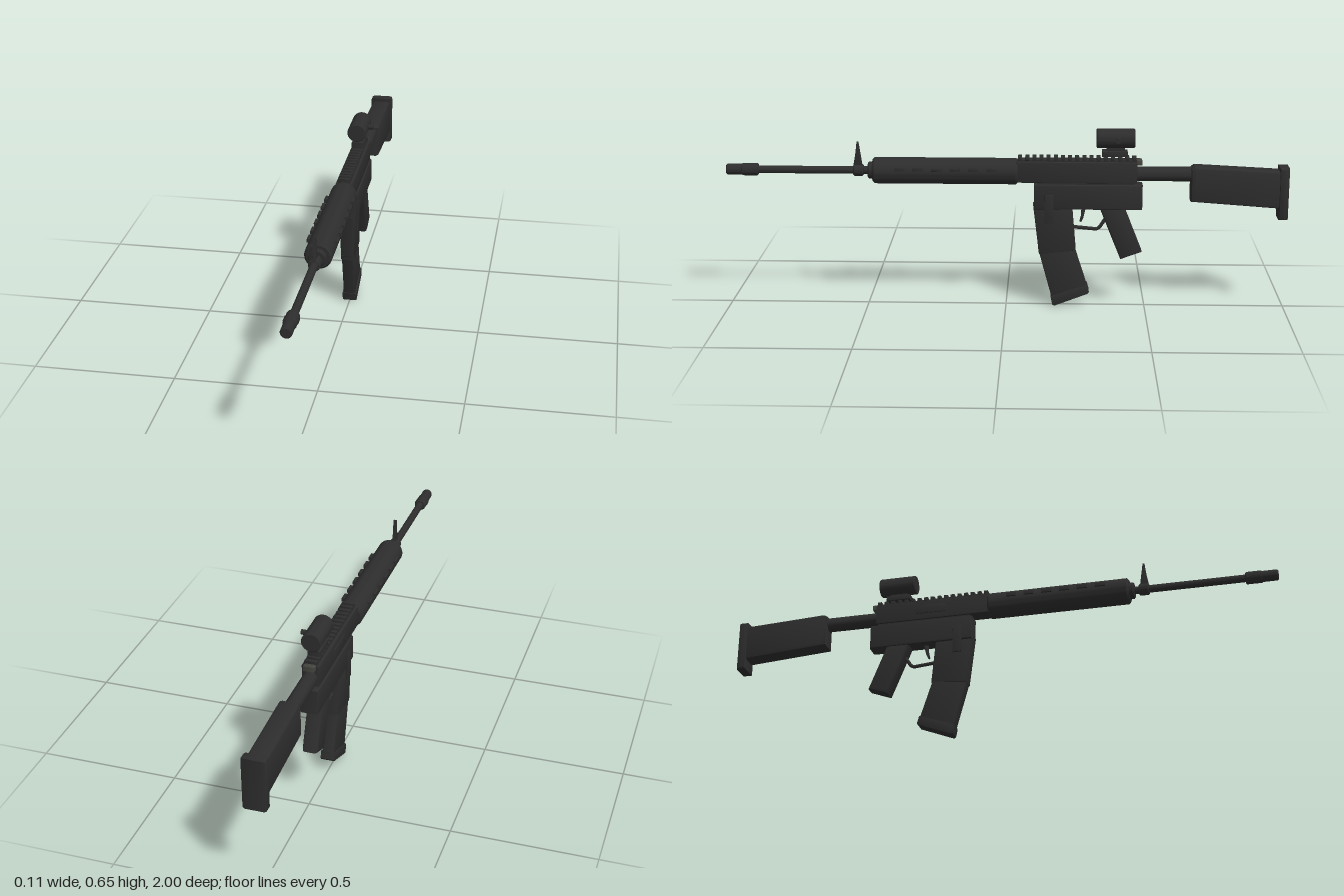
import * as THREE from 'three';
import { toCreasedNormals } from 'three/addons/utils/BufferGeometryUtils.js';

export function createModel() {
  const model = new THREE.Group();
  const black = new THREE.MeshStandardMaterial({ color: 0x2d2d2d });
  black.name = 'matte black';
  const steel = new THREE.MeshStandardMaterial({ color: 0x45453f });
  steel.name = 'worn steel';
  const axisY = 0.498;

  function add(name, geometry, material = black) {
    const mesh = new THREE.Mesh(geometry, material);
    mesh.name = name;
    model.add(mesh);
    return mesh;
  }

  // Side outline of [z, y] points, widened along x with bevelled edges
  function slab(name, points, width, bevel = 0.006, x = 0) {
    const shape = new THREE.Shape(points.map(([z, y]) => new THREE.Vector2(z, y)));
    const g = new THREE.ExtrudeGeometry(shape, {
      depth: width - 2 * bevel, bevelEnabled: bevel > 0, bevelSize: bevel,
      bevelThickness: bevel, bevelOffset: -bevel, bevelSegments: 2,
    });
    g.translate(0, 0, bevel - width / 2);
    g.rotateY(-Math.PI / 2);
    g.scale(-1, 1, 1);
    g.rotateY(Math.PI);
    g.scale(1, 1, -1);
    g.translate(x, 0, 0);
    return add(name, toCreasedNormals(g, 0.6));
  }

  function block(name, z0, z1, y0, y1, width, bevel = 0.005, x = 0) {
    return slab(name, [[z0, y0], [z1, y0], [z1, y1], [z0, y1]], width, bevel, x);
  }

  // Round part along z with chamfered ends
  function rod(name, z0, z1, radius, y = axisY, chamfer = 0.004, sides = 24) {
    const profile = [[0, z0], [radius - chamfer, z0], [radius, z0 + chamfer],
      [radius, z1 - chamfer], [radius - chamfer, z1], [0, z1]];
    const g = new THREE.LatheGeometry(profile.map(p => new THREE.Vector2(...p)), sides);
    g.rotateX(Math.PI / 2);
    g.translate(0, y, 0);
    return add(name, toCreasedNormals(g, 0.5));
  }

  // Barrel and muzzle
  rod('barrel', 0.44, 0.92, 0.0135, axisY, 0.001);
  rod('muzzleRear', 0.885, 0.945, 0.022);
  rod('muzzleFront', 0.94, 1, 0.0195);
  for (const side of [-1, 1]) block('muzzleSlot', 0.9, 0.93, 0.493, 0.503, 0.004, 0, side * 0.0215);
  rod('gasCollar', 0.47, 0.492, 0.03);
  rod('sightCollar', 0.508, 0.545, 0.021);

  // Front sight post
  slab('frontSight', [[0.512, 0.51], [0.545, 0.51], [0.536, 0.56], [0.531, 0.6], [0.525, 0.6], [0.519, 0.56]], 0.012, 0.001);

  // Handguard with vents along both sides
  rod('handguard', -0.042, 0.475, 0.047, axisY, 0.007, 32);
  for (const side of [-1, 1]) {
    for (let i = 0; i < 6; i++) {
      const z = 0.05 + i * 0.065;
      block('handguardVent', z - 0.018, z + 0.018, 0.506, 0.519, 0.014, 0.001, side * 0.046);
    }
  }

  // Receiver
  block('upperReceiver', -0.465, -0.038, 0.462, 0.538, 0.062);
  block('lowerReceiver', -0.485, -0.1, 0.365, 0.456, 0.068, 0.008);
  block('receiverJoint', -0.455, -0.11, 0.445, 0.475, 0.05, 0);
  block('ejectionPort', -0.31, -0.2, 0.484, 0.517, 0.006, 0.001, -0.031);
  for (const side of [-1, 1]) {
    block('magazineCatch', -0.17, -0.138, 0.315, 0.42, 0.008, 0.002, side * 0.032);
  }

  // Top rail with teeth
  block('railBase', -0.465, -0.042, 0.532, 0.544, 0.042, 0.001);
  for (let i = 0; i < 17; i++) {
    const z = -0.05 - i * 0.0253;
    block('railTooth', z - 0.007, z + 0.007, 0.541, 0.554, 0.044, 0.001);
  }

  // Charging handle
  block('chargingHandle', -0.482, -0.462, 0.526, 0.544, 0.04, 0.002).material = steel;

  // Optic on its mount
  block('opticClamp', -0.43, -0.34, 0.556, 0.576, 0.044, 0.004);
  block('opticStem', -0.42, -0.355, 0.57, 0.592, 0.016, 0);
  rod('optic', -0.456, -0.32, 0.0345, 0.62, 0.003, 32);
  const knob = new THREE.CylinderGeometry(0.009, 0.009, 0.03, 16);
  knob.rotateZ(Math.PI / 2);
  add('opticKnob', knob).position.set(0.038, 0.62, -0.395);

  // Magazine: upright upper section, raked lower section and floor plate
  slab('magazineUpper', [[-0.097, 0.38], [-0.236, 0.38], [-0.251, 0.211], [-0.119, 0.196]], 0.05, 0.006);
  slab('magazineLower', [[-0.116, 0.215], [-0.244, 0.225], [-0.295, 0.068], [-0.169, 0.02]], 0.043, 0.005);
  slab('magazineFloor', [[-0.162, 0.037], [-0.292, 0.083], [-0.3, 0.056], [-0.297, 0.05], [-0.175, 0.003], [-0.168, 0.007]], 0.052, 0.003);

  // Pistol grip
  slab('pistolGrip', [[-0.33, 0.38], [-0.418, 0.38], [-0.487, 0.208], [-0.411, 0.18]], 0.056, 0.01);

  // Trigger and guard
  slab('trigger', [[-0.27, 0.37], [-0.286, 0.37], [-0.277, 0.33], [-0.269, 0.313], [-0.263, 0.316], [-0.268, 0.335]], 0.012, 0.001);
  const guardPath = new THREE.CurvePath();
  const guardPoints = [[0.297, -0.22], [0.287, -0.325], [0.295, -0.336], [0.328, -0.357]]
    .map(([y, z]) => new THREE.Vector3(0, y, z));
  for (let i = 0; i < 3; i++) guardPath.add(new THREE.LineCurve3(guardPoints[i], guardPoints[i + 1]));
  add('triggerGuard', new THREE.TubeGeometry(guardPath, 24, 0.0065, 8));

  // Stock tube, stock and butt pad
  rod('stockTube', -0.68, -0.455, 0.026, 0.492);
  slab('stock', [[-0.655, 0.397], [-0.655, 0.515], [-0.667, 0.524], [-0.975, 0.508], [-0.975, 0.374]], 0.074, 0.013);
  block('buttPad', -1, -0.967, 0.335, 0.522, 0.084, 0.009);

  return model;
}
